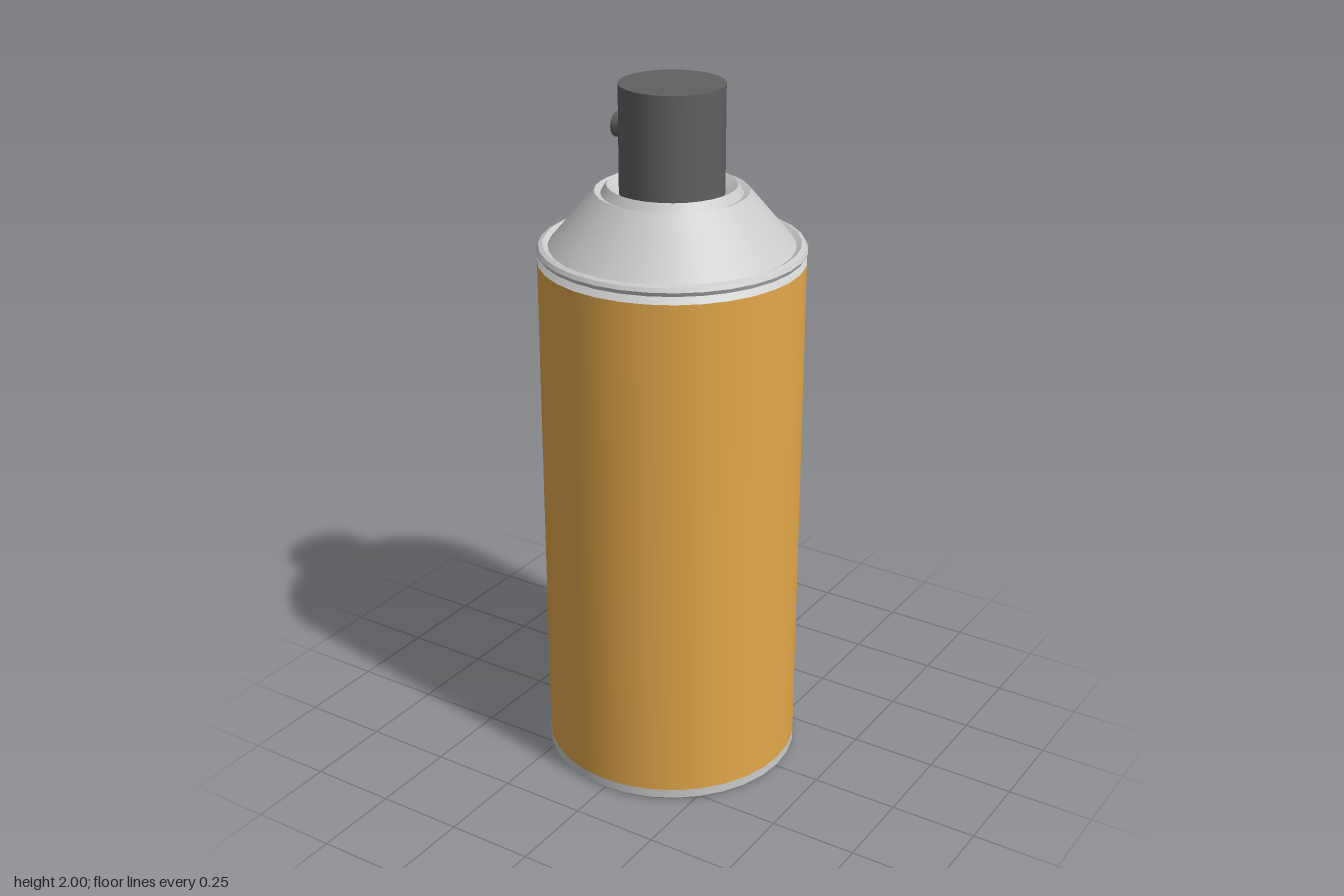
import * as THREE from 'three';
import { mergeGeometries } from 'three/addons/utils/BufferGeometryUtils.js';

const material = (color) => new THREE.MeshStandardMaterial({ color });

// Revolves a profile with a sharp edge between bands, smooth around the axis.
function revolve(name, profile, mat, sides = 32) {
  const points = profile.map(([r, y]) => new THREE.Vector2(r, y));
  const bands = [];
  for (let i = 0; i < points.length - 1; i++) {
    bands.push(new THREE.LatheGeometry([points[i], points[i + 1]], sides));
  }
  const mesh = new THREE.Mesh(mergeGeometries(bands), mat);
  mesh.name = name;
  return mesh;
}

export function createModel() {
  const model = new THREE.Group();
  model.name = 'sprayCan';
  const metal = material(0xcccccc);
  const paint = material(0xe3a84a);
  const plastic = material(0x606060);

  // Bottom rim with the hollow cone underneath
  model.add(revolve('base', [
    [0, 0.19], [0.345, 0.015], [0.353, 0], [0.362, 0], [0.368, 0.007], [0.368, 0.033],
  ], metal));

  // Painted wall
  model.add(revolve('body', [[0.368, 0.033], [0.368, 1.517]], paint));

  // Neck crease, rolled seam, conical shoulder, groove and raised valve cup
  model.add(revolve('shoulder', [
    [0.368, 1.517], [0.352, 1.535], [0.364, 1.538], [0.37, 1.55], [0.364, 1.561],
    [0.352, 1.566], [0.338, 1.558], [0.21, 1.71], [0.193, 1.703],
    [0.177, 1.727], [0.14, 1.70],
  ], metal));

  // Push button
  model.add(revolve('button', [
    [0, 1.695], [0.143, 1.695], [0.143, 2], [0, 2],
  ], plastic));

  // Hollow nozzle on the button's right side
  const nozzle = revolve('nozzle', [
    [0.035, 0], [0.035, 0.06], [0.021, 0.06], [0.021, 0.03], [0, 0.03],
  ], plastic, 16);
  nozzle.rotation.z = Math.PI / 2;
  nozzle.position.set(-0.115, 1.865, 0);
  model.add(nozzle);

  return model;
}
